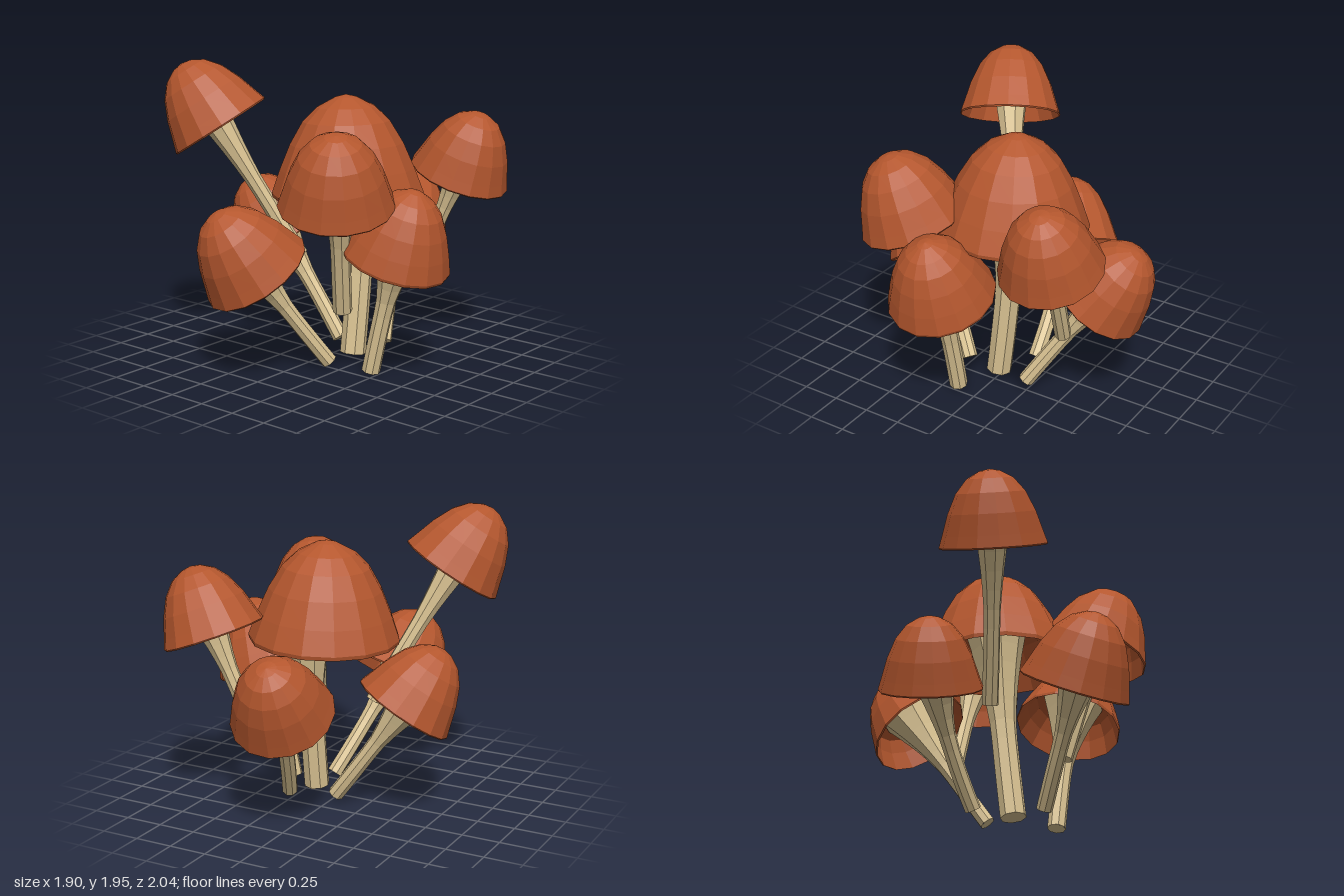
import * as THREE from 'three';

const capMaterial = new THREE.MeshStandardMaterial({ color: 0xb5572e, flatShading: true });
capMaterial.name = 'rust orange cap';
const stemMaterial = new THREE.MeshStandardMaterial({ color: 0xdcc594, flatShading: true });
stemMaterial.name = 'cream stem';

const UP = new THREE.Vector3(0, 1, 0);

// Cap profiles as [radius, height] fractions, from apex down to the rim
const BELL = [[0, 1], [0.14, 0.975], [0.38, 0.88], [0.57, 0.74], [0.74, 0.52], [0.88, 0.27], [0.99, 0.04]];
const DOME = [[0, 1], [0.19, 0.975], [0.43, 0.88], [0.64, 0.7], [0.81, 0.44], [0.93, 0.17], [1, 0.02]];
// Hollow underside, from rim back up to the centre
const UNDERSIDE = [[0.98, 0], [0.84, 0.25], [0.7, 0.42], [0.4, 0.52], [0, 0.54]];

// Every mushroom: rim centre, cap axis, cap radius and height, foot of the stem, stem radius and flare
const MUSHROOMS = [
  { name: 'centralMushroom', rim: [0.085, 1.085, -0.045], axis: [-0.04, 1, -0.015], r: 0.497, h: 0.655, foot: [0.175, 0.05, 0.01], stem: 0.085, spread: 1.4, profile: BELL, joint: [0.09, 0, -0.07] },
  { name: 'backMushroom', rim: [0.045, 0.745, -0.655], axis: [-0.09, 0.8, -0.56], r: 0.335, h: 0.46, foot: [0.24, 0.08, -0.24], stem: 0.052, spread: 2.4 },
  { name: 'backLeftMushroom', rim: [0.56, 1.185, -0.615], axis: [0.35, 0.93, -0.02], r: 0.33, h: 0.455, foot: [0.3, 0.57, -0.55], stem: 0.053, spread: 1.6 },
  { name: 'leftMushroom', rim: [0.615, 0.78, 0.15], axis: [0.33, 0.94, 0.01], r: 0.355, h: 0.485, foot: [0.44, 0.02, 0.16], stem: 0.06, spread: 2.4, profile: BELL },
  { name: 'frontLeftMushroom', rim: [0.42, 1.155, 0.485], axis: [0.2, 0.93, 0.26], r: 0.362, h: 0.48, foot: [0.32, 0.43, 0.3], stem: 0.062, spread: 1.2, joint: [0.02, 0, 0] },
  { name: 'frontMushroom', rim: [-0.08, 0.68, 0.655], axis: [-0.22, 0.82, 0.51], r: 0.355, h: 0.49, foot: [0.17, 0.05, 0.25], stem: 0.052, spread: 2.4 },
  { name: 'frontRightMushroom', rim: [-0.595, 1.52, 0.415], axis: [-0.47, 0.84, 0.27], r: 0.342, h: 0.48, foot: [-0.2, 0.67, 0.1], stem: 0.053, spread: 1.4 },
  { name: 'rightMushroom', rim: [-0.52, 0.715, -0.12], axis: [-0.46, 0.83, 0.31], r: 0.33, h: 0.465, foot: [-0.05, 0.07, -0.14], stem: 0.053, spread: 2.4 },
];

// Thin hollow bell, rim plane at y = 0
function capGeometry(r, h, profile) {
  const points = [...profile, ...UNDERSIDE].map(([x, y]) => new THREE.Vector2(x * r, y * h));
  return new THREE.LatheGeometry(points.reverse(), 15);
}

// Stem radius factor along its length: even, then flaring into the cap
function flare(u, spread) {
  const t = Math.max(0, (u - 0.45) / 0.55);
  return 1 + spread * Math.pow(t, 1.5);
}

// Faceted stem swept along a gentle curve, widened ring by ring
function stemGeometry(curve, radius, spread) {
  const rings = 10, sides = 8;
  const geometry = new THREE.TubeGeometry(curve, rings, radius, sides);
  const position = geometry.attributes.position;
  const p = new THREE.Vector3();
  for (let i = 0; i < position.count; i++) {
    const u = Math.floor(i / (sides + 1)) / rings;
    const centre = curve.getPointAt(u);
    p.fromBufferAttribute(position, i).sub(centre).multiplyScalar(flare(u, spread)).add(centre);
    position.setXYZ(i, p.x, p.y, p.z);
  }
  return geometry;
}

function createMushroom({ name, rim, axis, r, h, foot, stem, spread, profile = DOME, joint = [0, 0, 0] }) {
  const group = new THREE.Group();
  group.name = name;
  const centre = new THREE.Vector3(...rim);
  const direction = new THREE.Vector3(...axis).normalize();
  const base = new THREE.Vector3(...foot);

  // Cap
  const cap = new THREE.Mesh(capGeometry(r, h, profile), capMaterial);
  cap.name = 'cap';
  cap.position.copy(centre);
  cap.quaternion.setFromUnitVectors(UP, direction);

  // Stem, bending slightly to meet the cap squarely
  const neck = centre.clone().add(new THREE.Vector3(...joint));
  const top = neck.clone().addScaledVector(direction, h * 0.44);
  const bend = base.clone().lerp(neck, 0.6);
  bend.lerp(neck.clone().addScaledVector(direction, -0.25), 0.35);
  const curve = new THREE.QuadraticBezierCurve3(base, bend, top);
  const stalk = new THREE.Mesh(stemGeometry(curve, stem, spread), stemMaterial);
  stalk.name = 'stem';

  // Cut end of the stem
  const end = new THREE.Mesh(new THREE.CircleGeometry(stem, 8), stemMaterial);
  end.name = 'stemEnd';
  end.position.copy(base);
  end.quaternion.setFromUnitVectors(new THREE.Vector3(0, 0, 1), curve.getTangentAt(0).negate());

  group.add(cap, stalk, end);
  return group;
}

export function createModel() {
  const model = new THREE.Group();
  model.name = 'mushroomCluster';
  for (const spec of MUSHROOMS) model.add(createMushroom(spec));
  return model;
}
